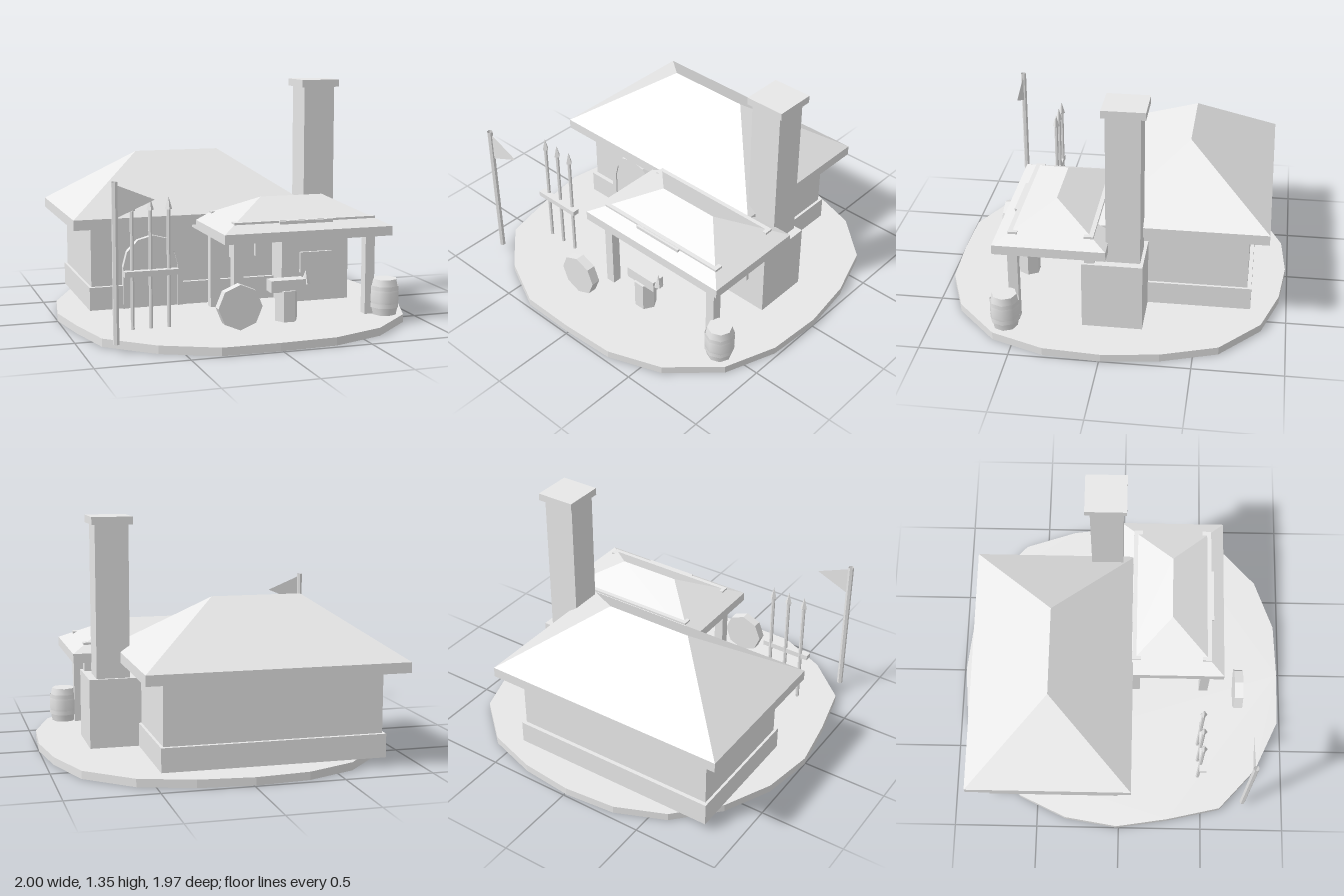
import * as THREE from 'three';
import { ConvexGeometry } from 'three/addons/geometries/ConvexGeometry.js';
import { mergeVertices } from 'three/addons/utils/BufferGeometryUtils.js';

const grey = new THREE.MeshStandardMaterial({ color: 0xe8e8e8, side: THREE.DoubleSide });
grey.name = 'plain grey';
const GROUND = 0.045;
const FLOOR = GROUND + 0.001;

export function createModel() {
  const root = new THREE.Group();
  root.name = 'smithy';

  // Faceted parts get one normal per face; smooth parts share normals
  const add = (name, geometry, x = 0, y = 0, z = 0, smooth = false) => {
    let g = geometry;
    if (!smooth) {
      g = g.index ? g.toNonIndexed() : g;
      g.computeVertexNormals();
    }
    const mesh = new THREE.Mesh(g, grey);
    mesh.name = name;
    mesh.position.set(x, y, z);
    root.add(mesh);
    return mesh;
  };
  // Box given by its extents on each axis
  const box = (name, x0, x1, y0, y1, z0, z1) =>
    add(name, new THREE.BoxGeometry(x1 - x0, y1 - y0, z1 - z0), (x0 + x1) / 2, (y0 + y1) / 2, (z0 + z1) / 2);
  // Upright cylinder or cone standing on y0
  const post = (name, x, z, y0, y1, rBottom, rTop, sides, open = false) =>
    add(name, new THREE.CylinderGeometry(rTop, rBottom, y1 - y0, sides, 1, open), x, (y0 + y1) / 2, z);
  // Hipped roof on a straight-edged slab, with a sagging underside
  const hipRoof = (name, x0, x1, z0, z1, y0, y1, ridgeX0, ridgeX1, ridgeY, sagY) => {
    const zm = (z0 + z1) / 2;
    const points = [new THREE.Vector3(ridgeX0, ridgeY, zm), new THREE.Vector3(ridgeX1, ridgeY, zm)];
    for (const x of [x0, x1]) for (const y of [y0, y1]) for (const z of [z0, z1]) points.push(new THREE.Vector3(x, y, z));
    points.push(new THREE.Vector3((x0 + x1) / 2, sagY, zm));
    return add(name, new ConvexGeometry(points));
  };
  // Arch band: straight legs with a faceted round head; no inner radius gives a solid panel
  const arch = (name, x, z, legY, springY, rOuter, rInner, depth) => {
    const steps = 6;
    const pts = [];
    const ring = (r, i) => {
      const a = (Math.PI * i) / steps;
      return new THREE.Vector2(r * Math.cos(a), springY + r * Math.sin(a));
    };
    pts.push(new THREE.Vector2(rOuter, legY));
    for (let i = 0; i <= steps; i++) pts.push(ring(rOuter, i));
    pts.push(new THREE.Vector2(-rOuter, legY));
    if (rInner > 0) {
      pts.push(new THREE.Vector2(-rInner, legY));
      for (let i = steps; i >= 0; i--) pts.push(ring(rInner, i));
      pts.push(new THREE.Vector2(rInner, legY));
    }
    return add(name, new THREE.ExtrudeGeometry(new THREE.Shape(pts), { depth, bevelEnabled: false }), x, 0, z);
  };

  // Uneven round ground (x, z outline): a top sheet with a skirt, hollow below
  const outline = [
    [1, -0.01], [0.98, 0.315], [0.87, 0.615], [0.615, 0.855], [0.31, 0.97], [-0.01, 0.985], [-0.33, 0.98],
    [-0.63, 0.84], [-0.877, 0.615], [-0.95, 0.3], [-1, -0.012], [-0.95, -0.325], [-0.82, -0.605],
    [-0.6, -0.84], [-0.316, -0.96], [-0.01, -0.987], [0.3, -0.955], [0.6, -0.86], [0.85, -0.638], [0.957, -0.324],
  ];
  const sheet = new THREE.ShapeGeometry(new THREE.Shape(outline.map(([x, z]) => new THREE.Vector2(x, -z))));
  add('groundTop', sheet.rotateX(-Math.PI / 2), 0, GROUND, 0);
  const skirt = outline.flatMap(([ax, az], i) => {
    const [bx, bz] = outline[(i + 1) % outline.length];
    return [ax, 0, az, ax, GROUND, az, bx, 0, bz, bx, 0, bz, ax, GROUND, az, bx, GROUND, bz];
  });
  add('groundSkirt', new THREE.BufferGeometry().setAttribute('position', new THREE.Float32BufferAttribute(skirt, 3)));

  // House
  box('foundation', -0.812, 0.453, FLOOR, 0.18, -0.795, -0.008);
  box('walls', -0.797, 0.437, 0.18, 0.54, -0.772, -0.034);
  hipRoof('houseRoof', -0.914, 0.552, -0.883, 0.071, 0.531, 0.59, -0.436, 0.077, 0.92, 0.5);
  arch('doorFrame', -0.437, -0.035, FLOOR, 0.29, 0.179, 0.148, 0.038);
  arch('door', -0.437, -0.03, FLOOR, 0.29, 0.148, 0, 0.024);
  arch('wallArch', 0.135, -0.036, 0.308, 0.415, 0.096, 0.06, 0.03);

  // Hearth and chimney
  box('hearth', 0.312, 0.733, FLOOR, 0.442, -0.205, 0.133);
  box('hearthDoor', 0.423, 0.624, 0.222, 0.345, 0.12, 0.152);
  box('chimney', 0.498, 0.688, 0.44, 1.312, -0.187, 0.003);
  box('chimneyCap', 0.478, 0.71, 1.311, 1.354, -0.215, 0.022);

  // Open porch with posts and beams that break through the roof
  hipRoof('porchRoof', -0.197, 0.793, -0.011, 0.614, 0.505, 0.559, 0.117, 0.49, 0.713, 0.474);
  for (const z of [0.09, 0.518]) {
    for (const x of [-0.095, 0.69]) box('porchPost', x - 0.028, x + 0.028, FLOOR, 0.53, z - 0.028, z + 0.028);
  }
  for (const z of [0.091, 0.511]) box('porchBeam', -0.117, 0.72, 0.555, 0.609, z - 0.026, z + 0.026);
  box('beamBoard', 0.142, 0.457, 0.56, 0.607, 0.53, 0.552);

  // Anvil on its six-sided stump
  post('anvilStump', 0.187, 0.535, FLOOR, 0.22, 0.065, 0.065, 6).rotation.y = Math.PI / 6;
  box('anvil', 0.085, 0.29, 0.213, 0.28, 0.495, 0.577);
  post('anvilHorn', 0.299, 0.545, 0.248, 0.325, 0.028, 0, 6);

  // Barrel with smoothly bulging staves and two hoops
  const stave = [[0.07, 0], [0.08, 0.05], [0.084, 0.08], [0.084, 0.13], [0.08, 0.16], [0.07, 0.205]];
  const staves = new THREE.LatheGeometry(stave.map(([r, y]) => new THREE.Vector2(r, y)), 8);
  staves.deleteAttribute('uv');
  staves.deleteAttribute('normal');
  const barrelSide = mergeVertices(staves);
  barrelSide.computeVertexNormals();
  add('barrel', barrelSide, 0.777, GROUND, 0.559, true);
  for (const y of [0.1, 0.2]) add('barrelHoop', new THREE.CylinderGeometry(0.084, 0.084, 0.025, 8, 1, true), 0.777, y, 0.559, true);
  add('barrelLid', new THREE.CircleGeometry(0.07, 8), 0.777, GROUND + 0.205, 0.559).rotation.x = -Math.PI / 2;

  // Eight-sided shield
  const shield = add('shield', new THREE.CylinderGeometry(0.124, 0.124, 0.053, 8), -0.153, 0.189, 0.725);
  shield.rotation.x = Math.PI / 2;

  // Spear rack
  box('rackBar', -0.727, -0.426, 0.34, 0.371, 0.475, 0.517);
  for (const x of [-0.678, -0.576, -0.474]) {
    post('spearShaft', x, 0.482, FLOOR, 0.7, 0.011, 0.011, 6, true);
    post('spearHead', x, 0.482, 0.696, 0.769, 0.021, 0, 4);
  }

  // Pennant on a pole
  post('flagPole', -0.832, 0.757, FLOOR, 0.892, 0.017, 0.017, 6, true);
  const pennant = new THREE.Shape([[-0.817, 0.873], [-0.817, 0.708], [-0.62, 0.792]].map(([x, y]) => new THREE.Vector2(x, y)));
  add('pennant', new THREE.ShapeGeometry(pennant), 0, 0, 0.757);

  return root;
}
